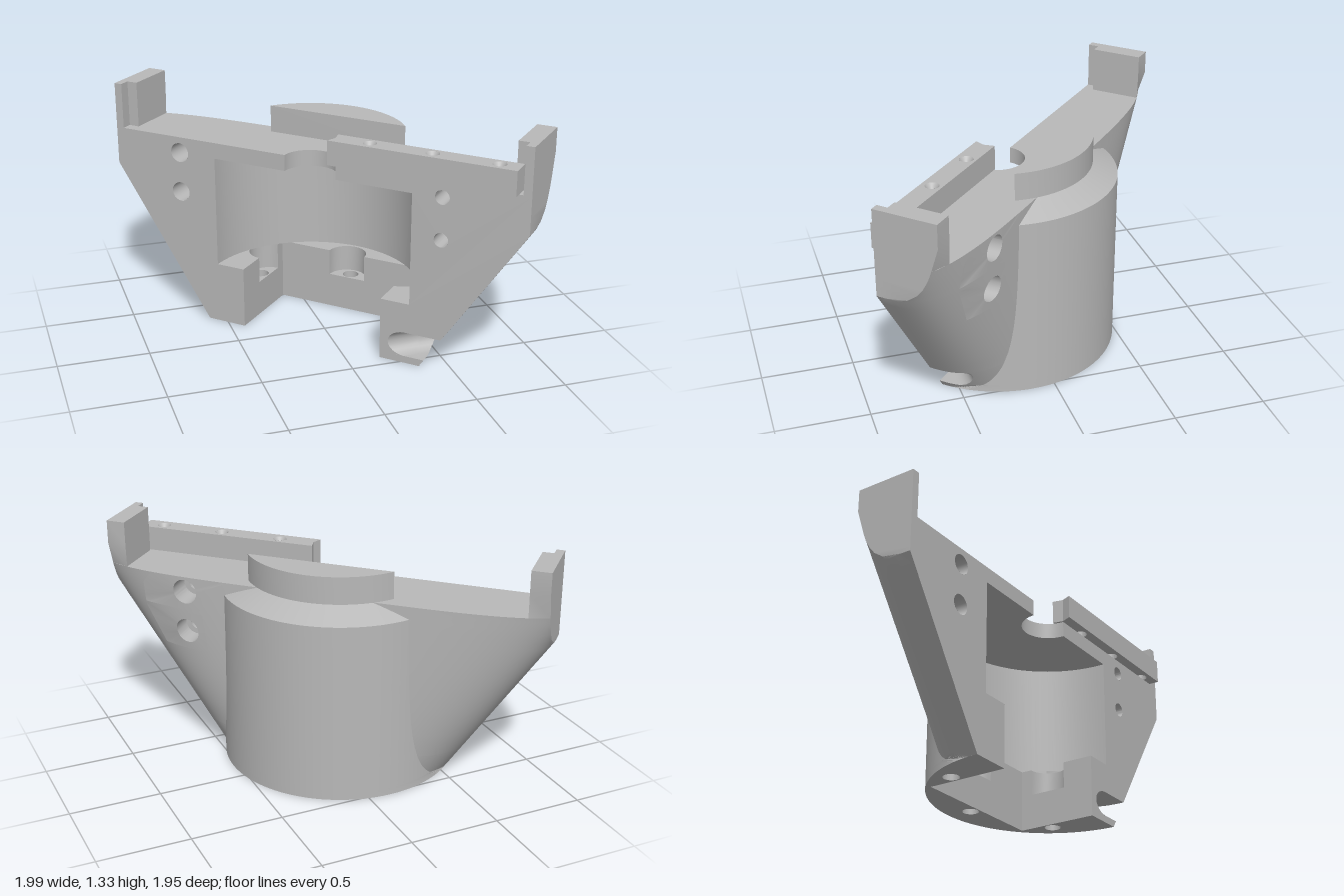
import * as THREE from 'three';
import { toCreasedNormals } from 'three/addons/utils/BufferGeometryUtils.js';

// Local frame: u along the bracket, y up, d = depth behind the front face (z = -d).
const HALF = 1.22, TOP = 1.07, POCKET_R = 0.586, POCKET_LOW = 0.35, POCKET_HIGH = 0.98;
const CUT = 0.42, CUT_DEPTH = 0.46, NECK = 0.15, LEDGE = 0.2;
const ANGLE = 0.771, CX = -0.121, CZ = 0.125, PI = Math.PI;

const halfWidth = y => Math.min(HALF, 0.65 + 0.663 * y);

// Back surface: tapered wings with rounded undersides, joined with a chamfered drum
function wing(u, y) {
  const m = 2.5 + 1.4 * y;
  return 0.4 * Math.pow(Math.max(0, 1 - Math.pow(Math.abs(u) / (0.65 + 0.663 * y), m)), 1 / m);
}
function drum(u, y) {
  const r = 0.65 - 2 * Math.max(0, y - 1);
  return Math.sqrt(Math.max(0, r * r - u * u));
}
const depth = (u, y) => Math.max(wing(u, y), drum(u, y));

// Where the drum meets the wing at a given height
function crease(y) {
  let lo = 0.25, hi = 0.648;
  for (let k = 0; k < 40; k++) {
    const mid = (lo + hi) / 2;
    if (drum(mid, y) > wing(mid, y)) lo = mid; else hi = mid;
  }
  return lo;
}

// Round-ended slot that cuts off the corner of one foot
const slotLimit = y => 0.52 - Math.sqrt(Math.max(0, 0.0049 - (y - 0.11) ** 2));
const inSlot = y => y > 0.04 && y < 0.18;
function notch([u, y, d]) {
  const over = CZ + Math.sin(ANGLE) * u - Math.cos(ANGLE) * d - slotLimit(y);
  return inSlot(y) && over > 0 ? [u - over * Math.sin(ANGLE), y, d + over * Math.cos(ANGLE)] : [u, y, d];
}

// Surface through rows of [u, y, d] points
function grid(rows, skip = () => false) {
  const pos = [];
  const put = ([u, y, d]) => pos.push(u, y, -d);
  for (let j = 0; j < rows.length - 1; j++) {
    for (let i = 0; i < rows[j].length - 1; i++) {
      if (skip(i, j)) continue;
      const a = rows[j][i], b = rows[j][i + 1], c = rows[j + 1][i + 1], d = rows[j + 1][i];
      [a, b, c, a, c, d].forEach(put);
    }
  }
  const g = new THREE.BufferGeometry();
  g.setAttribute('position', new THREE.Float32BufferAttribute(pos, 3));
  return toCreasedNormals(g, 0.5);
}

const arc = (cu, cd, r, from, to, n = 32) => Array.from({ length: n + 1 }, (_, i) => {
  const t = from + (to - from) * i / n;
  return [cu + r * Math.cos(t), cd + r * Math.sin(t)];
});
const walls = (path, y0, y1) => grid([y0, y1].map(y => path.map(([u, d]) => [u, y, d])));
const shapeOf = (pts, holes = []) => {
  const s = new THREE.Shape(pts.map(p => new THREE.Vector2(...p)));
  for (const [u, d, r] of holes) s.holes.push(new THREE.Path().absarc(u, d, r, 0, PI * 2, true));
  return s;
};
const level = (pts, y, holes) =>
  new THREE.ShapeGeometry(shapeOf(pts, holes), 24).rotateX(-PI / 2).translate(0, y, 0);
const slab = (pts, y0, y1, holes, steps = 1) => {
  const g = new THREE.ExtrudeGeometry(shapeOf(pts, holes), { depth: y1 - y0, bevelEnabled: false, steps, curveSegments: 24 });
  return toCreasedNormals(g.rotateX(-PI / 2).translate(0, y0, 0), 0.5);
};

export function createModel() {
  const grey = new THREE.MeshStandardMaterial({ color: 0xb8b8b8, side: THREE.DoubleSide });
  grey.name = 'grey';
  const body = new THREE.Group();
  body.name = 'bracket';
  const add = (name, geometry) => {
    const mesh = new THREE.Mesh(geometry, grey);
    mesh.name = name;
    body.add(mesh);
  };

  // Curved back with flat ends, and openings left for two counterbored holes
  const ys = [0, 0.0399, 0.0401, 0.043, 0.05, 0.06, 0.075, 0.09, 0.11, 0.13, 0.145, 0.16, 0.17, 0.177, 0.1799, 0.1801,
    0.25, 0.32, 0.4, 0.48, 0.56, 0.64, 0.7, 0.75, 0.8, 0.86, 0.88, 0.92, 0.96, 1, 1.02, 1.045, TOP];
  const OUTER = 32, INNER = 96, i0 = OUTER + INNER + 5, i1 = i0 + 12;
  const rows = ys.map(y => {
    const c = crease(y), w = halfWidth(y), us = [];
    for (let i = OUTER; i > 0; i--) us.push(-c - (w - c) * Math.sin(PI / 2 * i / OUTER));
    for (let i = 0; i <= INNER; i++) us.push(-c * Math.cos(PI * i / INNER));
    for (let i = 1; i <= OUTER; i++) us.push(c + (w - c) * Math.sin(PI / 2 * i / OUTER));
    return [[-w, y, 0], ...us.map(u => [u, y, depth(u, y)]), [w, y, 0]].map(notch);
  });
  const bores = [[0.64, 0.86, 0.75], [0.88, TOP, 0.985]].map(([lo, hi, y]) =>
    ({ j0: ys.indexOf(lo), j1: ys.indexOf(hi), y }));
  add('backShell', grid(rows, (i, j) => i >= i0 && i < i1 && bores.some(b => j >= b.j0 && j < b.j1)));
  for (const { j0, j1, y } of bores) {
    const edge = [];
    for (let i = i0; i < i1; i++) edge.push(rows[j0][i]);
    for (let j = j0; j < j1; j++) edge.push(rows[j][i1]);
    for (let i = i1; i > i0; i--) edge.push(rows[j1][i]);
    for (let j = j1; j >= j0; j--) edge.push(rows[j][i0]);
    const ring = (r, d) => edge.map(p => {
      const t = Math.atan2(p[1] - y, p[0] - 0.752);
      const u = 0.752 + r * Math.cos(t), v = y + r * Math.sin(t);
      return [u, v, d ?? depth(u, v)];
    });
    add('counterbore', grid([edge, ring(0.07), ring(0.07, 0.24), ring(0.04, 0.24), ring(0.04, 0)]));
  }

  // Flat front face on each side, with its bolt holes
  for (const side of [-1, 1]) {
    const r = side < 0 ? 0.055 : 0.04, u = side < 0 ? -0.81 : 0.752;
    const outline = [[halfWidth(0.2), 0.2], [HALF, 0.86], [HALF, TOP], [NECK, TOP], [NECK, POCKET_HIGH],
      [POCKET_R, POCKET_HIGH], [POCKET_R, POCKET_LOW], [CUT, POCKET_LOW], [CUT, 0.2]];
    const holes = [0.75, side < 0 ? 0.98 : 0.985].map(y => [u, y, r]);
    add('frontFace', new THREE.ShapeGeometry(shapeOf(outline.map(([x, y]) => [side * x, y]), holes), 24));
    const footRows = [...ys.filter(y => y < 0.2), 0.2].map(y => {
      const start = (slotLimit(inSlot(y) ? y : 0.11) - CZ) / Math.sin(ANGLE);
      return [CUT, start, halfWidth(y)].map(x => notch([side * x, y, 0]));
    });
    add('footFace', grid(footRows));
    if (side < 0) {
      for (const [hu, hy, hr] of holes) {
        const ring = (rad, d) => arc(hu, hy, rad, 0, PI * 2).map(([a, b]) => [a, b, d]);
        add('boltHole', grid([ring(hr, 0), ring(hr, 0.22), ring(0.0001, 0.22)]));
      }
    }
  }

  // Half-round pocket, its ceiling and the neck above it
  const pocket = arc(0, 0, POCKET_R, 0, PI, 48);
  const neck = arc(0, 0, NECK, PI, 0);
  add('pocketWall', walls(pocket, POCKET_LOW, POCKET_HIGH));
  add('pocketCeiling', level([...pocket, ...neck], POCKET_HIGH));
  add('neckWall', walls(neck, POCKET_HIGH, TOP));
  const topEdge = rows[ys.length - 1].map(([u, , d]) => [u, d]).reverse();
  add('topPlate', level([...topEdge, ...neck], TOP));

  // Rectangular cut under the pocket, with three screw bays above a ledge
  const cut = [[-CUT, 0], [-CUT, CUT_DEPTH], [CUT, CUT_DEPTH], [CUT, 0]];
  const bays = [arc(-CUT, 0.29, 0.11, 1.5 * PI, 0.5 * PI, 16), arc(0, CUT_DEPTH, 0.11, PI, 0, 16),
    arc(CUT, 0.29, 0.11, 0.5 * PI, -0.5 * PI, 16)];
  const bayCut = [cut[0], ...bays[0], cut[1], ...bays[1], cut[2], ...bays[2], cut[3]];
  const screws = [[-0.472, 0.29, 0.045], [0, 0.512, 0.045], [0.472, 0.29, 0.045]];
  add('cutWall', walls(cut, 0, LEDGE));
  add('bayWall', walls(bayCut, LEDGE, POCKET_LOW));
  add('pocketFloor', level([...arc(0, 0, 0.63, 0, PI, 48), ...bayCut], POCKET_LOW));
  add('underside', level([...arc(0, 0, 0.65, 0, PI, 96), ...cut], 0, screws));
  bays.forEach((bay, k) => {
    const [u, d, r] = screws[k];
    add('screwLedge', level(bay, LEDGE, [screws[k]]));
    add('screwHole', walls(arc(u, d, r, 0, 2 * PI, 24), 0, LEDGE));
  });

  // Raised segment on top of the drum
  const lidAngle = Math.asin(0.317 / 0.515);
  add('raisedSegment', slab(arc(0, 0, 0.515, lidAngle, PI - lidAngle, 40), TOP, 1.22));

  // Overhanging rail with three countersunk dimples
  const dimples = [0.344, 0.69, 1.044].map(u => [u, 0.006, 0.037]);
  add('rail', slab([[0.128, -0.054], [1.156, -0.054], [1.156, 0.06], [0.137, 0.06], [0.15, 0]], 1.075, 1.21, dimples));
  for (const [u, d, r] of dimples) {
    const cone = new THREE.ConeGeometry(r, 0.05, 24, 1, true).rotateX(PI);
    add('dimple', cone.translate(u, 1.185, -d));
  }

  // End posts with a notched front edge, following the wing at their foot
  for (const side of [-1, 1]) {
    const plan = [[HALF, 0], [HALF, 0.348], [1.115, 0.348], [1.115, 0.06], [1.175, 0.06], [1.175, 0]];
    const post = slab(plan.map(([u, d]) => [side * u, d]), TOP, 1.325, [], 2);
    const p = post.attributes.position;
    for (let i = 0; i < p.count; i++) {
      if (p.getY(i) < 1.08) p.setZ(i, Math.max(p.getZ(i), -depth(p.getX(i), TOP)));
    }
    add('endPost', toCreasedNormals(post, 0.5));
  }

  body.rotation.y = -ANGLE;
  body.position.set(CX, 0, CZ);
  const model = new THREE.Group();
  model.name = 'mountingBracket';
  model.add(body);
  return model;
}
